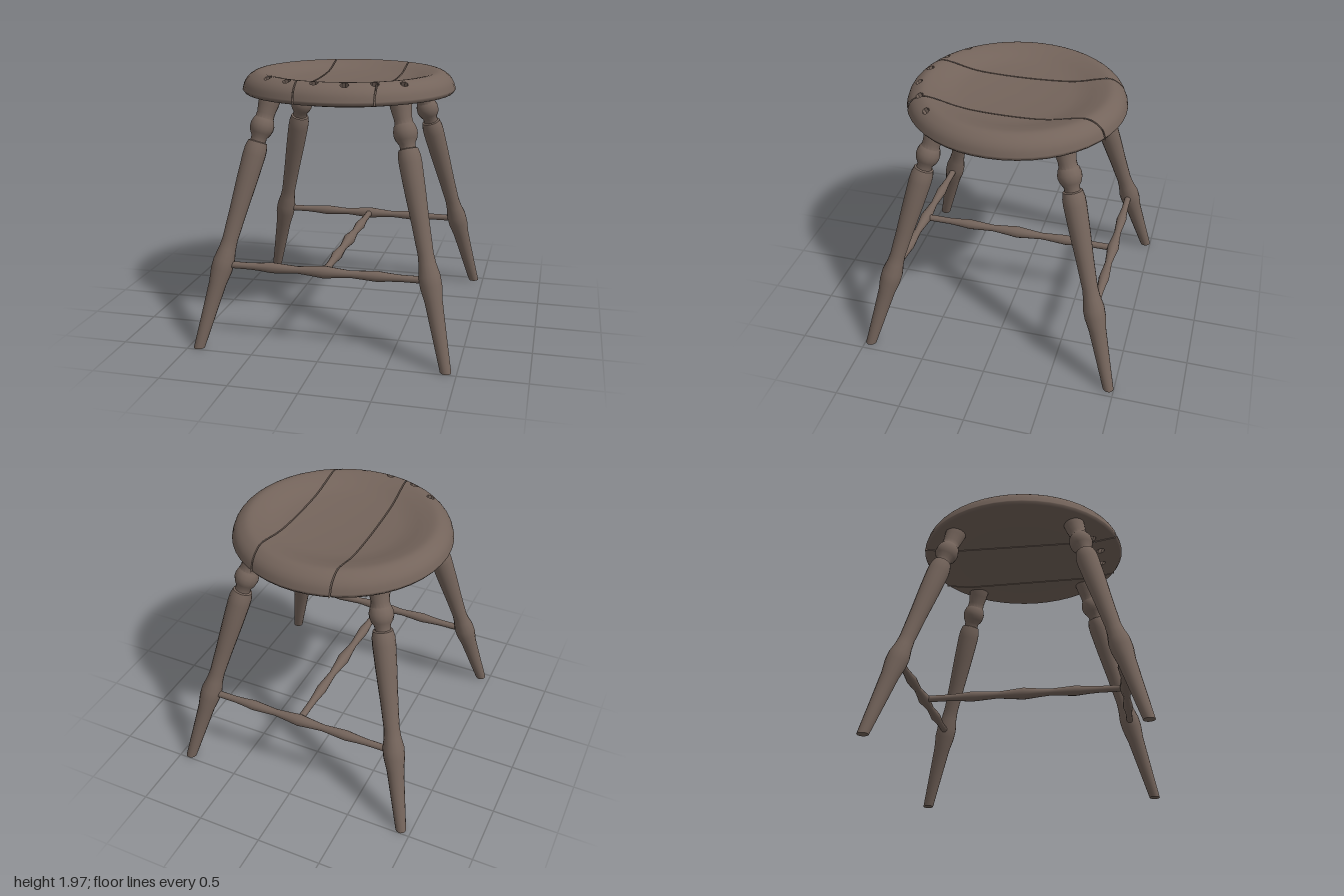
import * as THREE from 'three';
import { toCreasedNormals } from 'three/addons/utils/BufferGeometryUtils.js';

const V3 = (x, y, z) => new THREE.Vector3(x, y, z);
const V2 = ([x, y]) => new THREE.Vector2(x, y);

// Seat profile: flat underside, bevel, rounded rim and dished top
const under = [[0, 1.79], [0.2, 1.79], [0.45, 1.79], [0.64, 1.79], [0.8, 1.82]].map(V2);
const upper = new THREE.SplineCurve([
  [0.815, 1.84], [0.795, 1.9], [0.755, 1.945], [0.69, 1.973], [0.6, 1.957],
  [0.5, 1.928], [0.4, 1.91], [0.2, 1.897], [0, 1.893]].map(V2)).getPoints(32);
upper[upper.length - 1].x = 0;

// Height of a profile at radius r
function heightAt(profile, r) {
  for (let i = 1; i < profile.length; i++) {
    const a = profile[i - 1], b = profile[i];
    if ((r - a.x) * (r - b.x) <= 0 && a.x !== b.x) return a.y + (b.y - a.y) * (r - a.x) / (b.x - a.x);
  }
  return r > 0.5 ? (profile === upper ? 1.84 : 1.82) : profile[0].y;
}

// Polygons are lists of { p, n }; a plane is { n, d } and its positive side is kept
const side = (v, plane) => plane.n.dot(v.p) - plane.d;
const flip = (plane) => ({ n: plane.n.clone().negate(), d: -plane.d });
function clip(poly, plane) {
  const out = [];
  poly.forEach((a, i) => {
    const b = poly[(i + 1) % poly.length], sa = side(a, plane), sb = side(b, plane);
    if (sa >= 0) out.push(a);
    if ((sa >= 0) !== (sb >= 0)) {
      const t = sa / (sa - sb);
      out.push({ p: a.p.clone().lerp(b.p, t), n: a.n.clone().lerp(b.n, t).normalize() });
    }
  });
  return out;
}
const clipAll = (polys, planes) => polys
  .map((poly) => planes.reduce((q, plane) => (q.length > 2 ? clip(q, plane) : []), poly))
  .filter((q) => q.length > 2);

// Cut a convex hole out of polygons
function subtract(polys, planes) {
  const out = [];
  for (const poly of polys) {
    if (planes.some((pl) => poly.every((v) => side(v, pl) >= 0))) { out.push(poly); continue; }
    let rest = poly;
    for (const pl of planes) {
      const cut = clip(rest, pl);
      if (cut.length > 2) out.push(cut);
      rest = clip(rest, flip(pl));
      if (rest.length < 3) break;
    }
  }
  return out;
}

function toGeometry(polys) {
  const pos = [], nor = [];
  for (const q of polys) {
    for (let i = 2; i < q.length; i++) {
      for (const v of [q[0], q[i - 1], q[i]]) { pos.push(...v.p.toArray()); nor.push(...v.n.toArray()); }
    }
  }
  const g = new THREE.BufferGeometry();
  g.setAttribute('position', new THREE.Float32BufferAttribute(pos, 3));
  g.setAttribute('normal', new THREE.Float32BufferAttribute(nor, 3));
  return g;
}

function lathePolys(points, segments) {
  const g = new THREE.LatheGeometry(points, segments).toNonIndexed();
  const P = g.attributes.position, N = g.attributes.normal, polys = [];
  for (let i = 0; i < P.count; i += 3) {
    polys.push([0, 1, 2].map((k) => ({
      p: V3().fromBufferAttribute(P, i + k), n: V3().fromBufferAttribute(N, i + k) })));
  }
  return polys;
}

// Peg hole slanting inward from the top of the rim to the underside
function makeHole(x, z) {
  const r = Math.hypot(x, z), top = V3(x, heightAt(upper, r), z);
  const axis = top.clone().sub(V3(x * 0.65 / r, 1.793, z * 0.65 / r));
  const meet = (p, profile) => {
    const q = p.clone();
    for (let i = 0; i < 12; i++) {
      const s = (heightAt(profile, Math.hypot(q.x, q.z)) - p.y) / axis.y;
      q.copy(p).addScaledVector(axis, s);
    }
    return q;
  };
  const ring = [], planes = [], walls = [], n = 8;
  for (let k = 0; k < n; k++) {
    const a = k / n * Math.PI * 2;
    const p = top.clone().add(V3(0.032 * Math.cos(a), 0, 0.032 * Math.sin(a)));
    ring.push({ p, hi: meet(p, upper), lo: meet(p, under) });
  }
  ring.forEach((c, k) => {
    const e = ring[(k + 1) % n];
    const out = axis.clone().cross(e.p.clone().sub(c.p)).normalize();
    planes.push({ n: out, d: out.dot(c.p) });
    const inward = out.clone().negate();
    walls.push([c.lo, e.lo, e.hi, c.hi].map((p) => ({ p, n: inward })));
  });
  return { planes, walls };
}

// Joint between boards along x = a + b z; dir is the side of the board that is kept
function joint(a, b, dir) {
  const at = a + dir * 0.005, n = V3(dir, 0, -dir * b).normalize();
  const plane = { n, d: n.dot(V3(at, 0, 0)) };
  const zMax = Math.sqrt(0.812 ** 2 - a * a), wall = [], steps = 48;
  const point = (i, profile) => {
    const z = zMax * (2 * i / steps - 1), x = at + b * z;
    return { p: V3(x, heightAt(profile, Math.hypot(x, z)), z), n: n.clone().negate() };
  };
  for (let i = 0; i < steps; i++) {
    const q = [point(i, under), point(i + 1, under), point(i + 1, upper), point(i, upper)];
    wall.push(dir > 0 ? q : q.reverse());
  }
  return { plane, wall };
}

function turned(profile, sides) {
  return new THREE.LatheGeometry(profile.map(V2), sides);
}

export function createModel() {
  const model = new THREE.Group();
  model.name = 'stool';
  const wood = new THREE.MeshStandardMaterial({ color: 0x74645b });
  wood.name = 'brown wood';
  const add = (geometry, name) => {
    const mesh = new THREE.Mesh(geometry, wood);
    mesh.name = name;
    model.add(mesh);
    return mesh;
  };

  // Three seat boards with narrow joints and a row of peg holes
  const seat = lathePolys([...under, ...upper], 48);
  const holes = [[-0.48, 0.53], [-0.3, 0.65], [-0.085, 0.705], [0.135, 0.715], [0.335, 0.64], [0.52, 0.525]]
    .map(([x, z]) => makeHole(x, z));
  const boards = {
    rightSeatBoard: [joint(-0.24, 0.023, -1)],
    middleSeatBoard: [joint(-0.24, 0.023, 1), joint(0.357, -0.01, -1)],
    leftSeatBoard: [joint(0.357, -0.01, 1)],
  };
  for (const [name, joints] of Object.entries(boards)) {
    const planes = joints.map((j) => j.plane);
    let polys = [...clipAll(seat, planes), ...joints.flatMap((j) => j.wall)];
    for (const hole of holes) polys = subtract(polys, hole.planes);
    polys.push(...clipAll(holes.flatMap((h) => h.walls), planes));
    add(toGeometry(polys), name);
  }

  // Four splayed turned legs: [radius, height] along the slanted axis
  const legProfile = [[0, 0], [0.04, 0], [0.053, 0.25], [0.065, 0.47], [0.08, 0.57], [0.08, 0.64],
    [0.064, 0.72], [0.058, 0.79], [0.066, 1.0], [0.078, 1.22], [0.085, 1.4], [0.083, 1.45], [0.072, 1.495],
    [0.057, 1.5], [0.058, 1.53], [0.078, 1.56], [0.088, 1.59], [0.088, 1.62], [0.077, 1.655], [0.069, 1.665],
    [0.066, 1.7], [0.076, 1.76], [0.08, 1.8], [0.08, 1.86], [0, 1.86]];
  for (const [sx, sz, name] of [[1, 1, 'frontLeftLeg'], [-1, 1, 'frontRightLeg'],
    [1, -1, 'backLeftLeg'], [-1, -1, 'backRightLeg']]) {
    const foot = V3(0.92 * sx, 0, 0.957 * sz), head = V3(0.482 * sx, 1.82, 0.464 * sz);
    const dir = head.clone().sub(foot), stretch = dir.length() / 1.82;
    dir.normalize();
    const g = turned(legProfile.map(([r, y]) => [r, y * stretch]), 16);
    const P = g.attributes.position, turn = new THREE.Quaternion().setFromUnitVectors(V3(0, 1, 0), dir);
    for (let i = 0; i < P.count; i++) {
      const isFoot = P.getY(i) === 0;
      const p = V3().fromBufferAttribute(P, i).applyQuaternion(turn).add(foot);
      // Trim the foot level with the floor
      if (isFoot) p.addScaledVector(dir, -p.y / dir.y);
      P.setXYZ(i, p.x, p.y, p.z);
    }
    add(toCreasedNormals(g, 0.65), name);
  }

  // Turned stretchers: front, back and the one joining them
  const half = [[0.026, 0.75], [0.026, 0.56], [0.031, 0.48], [0.04, 0.39], [0.033, 0.29], [0.027, 0.2], [0.036, 0.1]];
  const bar = [[0, -0.75], ...half.map(([r, y]) => [r, -y]), [0.047, 0], ...half.slice().reverse(), [0, 0.75]];
  const stretcher = (name, z, axis) => {
    const mesh = add(toCreasedNormals(turned(bar, 12), 0.65), name);
    mesh.rotation[axis] = Math.PI / 2;
    mesh.position.set(0, 0.61, z);
    return mesh;
  };
  stretcher('frontStretcher', 0.79, 'z');
  stretcher('backStretcher', -0.79, 'z');
  stretcher('middleStretcher', 0, 'x').scale.y = 1.04;
  return model;
}
